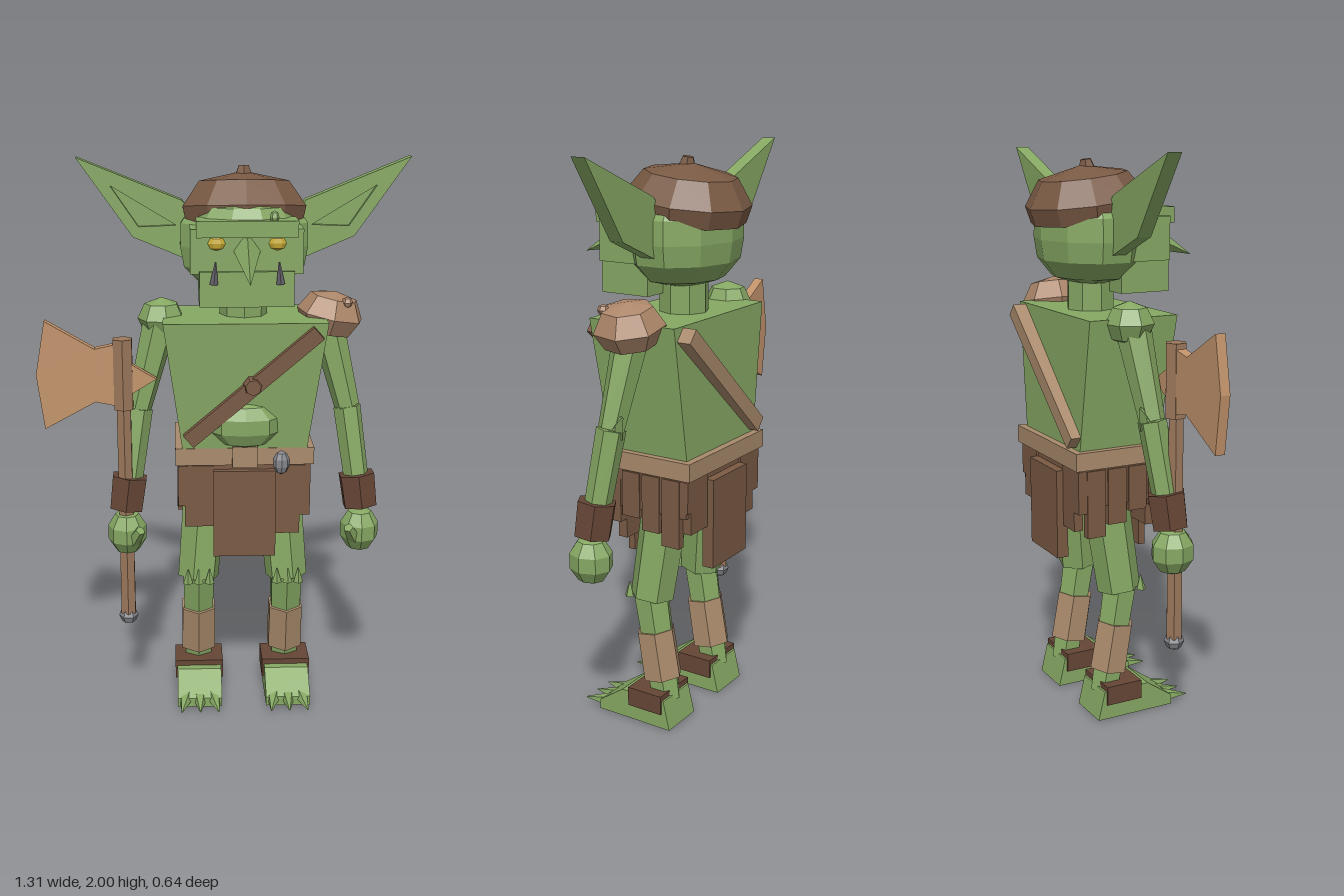
import * as THREE from 'three';

const V = (x, y, z) => new THREE.Vector3(x, y, z);
const mat = (name, color) => Object.assign(new THREE.MeshStandardMaterial({ color }), { name });

export function createModel() {
  const skin = mat('green skin', 0x86a863);
  const leather = mat('brown leather', 0x7a5a44);
  const cuffBrown = mat('dark cuff leather', 0x664636);
  const tan = mat('tan leather', 0xa98a6b);
  const padTan = mat('shoulder pad leather', 0xad876a);
  const wood = mat('handle wood', 0x9c785c);
  const bladeTan = mat('axe blade', 0xc2936b);
  const metal = mat('grey metal', 0x85878c);
  const tusk = mat('tusk grey', 0x6b6672);
  const yellow = mat('eye yellow', 0xc9ab35);

  const model = new THREE.Group();
  model.name = 'goblin';
  const body = new THREE.Group();
  body.name = 'body';
  body.position.x = 0.075;
  model.add(body);

  // Faceted mesh from any geometry
  function add(name, geo, material, pos = V(0, 0, 0), parent = body) {
    const g = geo.index ? geo.toNonIndexed() : geo;
    g.computeVertexNormals();
    const m = new THREE.Mesh(g, material);
    m.name = name;
    m.position.copy(pos);
    parent.add(m);
    return m;
  }
  // Box given by its limits
  const block = (name, material, x0, x1, y0, y1, z0, z1) =>
    add(name, new THREE.BoxGeometry(x1 - x0, y1 - y0, z1 - z0), material,
      V((x0 + x1) / 2, (y0 + y1) / 2, (z0 + z1) / 2));
  // Tapered prism from a to b
  function limb(name, material, a, b, ra, rb, sides = 6) {
    const d = b.clone().sub(a);
    const m = add(name, new THREE.CylinderGeometry(rb, ra, d.length(), sides), material,
      a.clone().add(b).multiplyScalar(0.5));
    m.quaternion.setFromUnitVectors(V(0, 1, 0), d.normalize());
    return m;
  }
  const blob = (name, material, pos, rx, ry, rz, w = 8, h = 5) =>
    add(name, new THREE.SphereGeometry(1, w, h).scale(rx, ry, rz), material, pos);
  const lathe = (pts, n) => new THREE.LatheGeometry(pts.map(p => new THREE.Vector2(...p)), n);
  const shape = pts => new THREE.Shape(pts.map(p => new THREE.Vector2(...p)));
  const plate = (s, depth) => new THREE.ExtrudeGeometry(s, { depth, bevelEnabled: false });
  // Flat band running from a to b, facing +z
  function band(name, material, a, b, width, thick) {
    const d = b.clone().sub(a);
    const m = add(name, new THREE.BoxGeometry(d.length(), width, thick), material,
      a.clone().add(b).multiplyScalar(0.5));
    const x = d.normalize(), y = V(0, 0, 1).cross(x).normalize();
    m.quaternion.setFromRotationMatrix(new THREE.Matrix4().makeBasis(x, y, x.clone().cross(y)));
  }

  // Torso: box widening towards the shoulders
  const torso = new THREE.BoxGeometry(1, 1, 1);
  const tp = torso.attributes.position;
  for (let i = 0; i < tp.count; i++) {
    const top = tp.getY(i) > 0, front = tp.getZ(i) > 0;
    tp.setXYZ(i, Math.sign(tp.getX(i)) * (top ? 0.285 : 0.215), top ? 1.455 : 0.95,
      front ? (top ? 0.088 : 0.05) : (top ? -0.245 : -0.255));
  }
  add('torso', torso, skin);
  blob('belly', skin, V(0, 1.085, 0.055), 0.125, 0.085, 0.055);
  limb('neck', skin, V(0, 1.43, -0.1), V(0, 1.58, -0.1), 0.085, 0.085, 8);

  // Straps and belt
  band('frontStrap', leather, V(-0.2, 1.035, 0.075), V(0.25, 1.425, 0.098), 0.055, 0.03);
  band('backStrap', tan, V(-0.21, 1.03, -0.265), V(0.25, 1.43, -0.27), 0.055, 0.05);
  limb('strapStud', leather, V(0.025, 1.235, 0.08), V(0.025, 1.235, 0.115), 0.036, 0.028, 7);
  block('belt', tan, -0.247, 0.247, 0.937, 1.0, -0.28, 0.055);
  block('buckle', tan, -0.045, 0.045, 0.93, 1.008, 0.04, 0.068);
  blob('beltCharm', metal, V(0.13, 0.945, 0.055), 0.03, 0.044, 0.025);

  // Ragged kilt
  block('kilt', leather, -0.235, 0.235, 0.8, 0.945, -0.26, 0.035);
  block('frontFlap', leather, -0.112, 0.112, 0.59, 0.915, 0.035, 0.06);
  block('backFlap', leather, -0.112, 0.112, 0.59, 0.91, -0.292, -0.25);
  const strips = [[-0.215, -0.11, 0.7], [-0.237, -0.21, 0.78], [0.11, 0.2, 0.67], [0.195, 0.237, 0.74]];
  for (const [x0, x1, y] of strips) {
    block('kiltFrontStrip', leather, x0, x1, y, 0.93, 0.005, 0.04);
    block('kiltBackStrip', leather, -x1, -x0, y + 0.04, 0.93, -0.268, -0.235);
  }
  for (const s of [1, -1])
    for (const [z, y] of [[-0.04, 0.77], [-0.12, 0.73], [-0.2, 0.69]])
      block('kiltSideStrip', leather, s * 0.225 - 0.015, s * 0.225 + 0.015, y, 0.93, z - 0.035, z + 0.035);

  // Skull, jaw and brow
  add('skull', lathe([[0, 1.53], [0.125, 1.57], [0.172, 1.63], [0.182, 1.7], [0.18, 1.78], [0.13, 1.87], [0, 1.9]], 10)
    .scale(1.28, 1, 1), skin, V(0, 0, -0.105));
  block('jaw', skin, -0.16, 0.16, 1.52, 1.64, -0.06, 0.125);
  block('face', skin, -0.19, 0.19, 1.63, 1.78, -0.07, 0.112);
  block('brow', skin, -0.17, 0.17, 1.755, 1.81, 0.03, 0.14);
  blob('forehead', skin, V(0, 1.81, 0), 0.165, 0.068, 0.115, 10, 6);
  blob('browWart', skin, V(0.09, 1.82, 0.12), 0.016, 0.022, 0.016, 6, 4);
  const nose = limb('nose', skin, V(0, 1.712, 0.1), V(0, 1.625, 0.31), 0.056, 0.0, 4);
  nose.scale.x = 0.85;

  // Cap with a button, tipped back
  const cap = add('cap', lathe([[0, -0.02], [0.2, -0.02], [0.213, 0.04], [0.155, 0.125], [0, 0.16]], 10)
    .scale(1.05, 1, 1), leather, V(0, 1.79, -0.11));
  cap.rotation.x = -0.13;
  limb('capButton', leather, V(0, 1.935, -0.11), V(0, 1.968, -0.115), 0.032, 0.02, 6);

  // Paired parts of the face, limbs and clothing
  for (const s of [1, -1]) {
    blob('eye', yellow, V(s * 0.102, 1.733, 0.112), 0.03, 0.024, 0.012, 6, 4);
    limb('tusk', tusk, V(s * 0.112, 1.6, 0.13), V(s * 0.106, 1.675, 0.142), 0.015, 0.003, 5);

    // Ear: back plate and a front rim with a hollow
    const outline = [[0.17, 1.64], [0.385, 1.73], [0.575, 2.0], [0.215, 1.855], [0.17, 1.8]].map(([x, y]) => [s * x, y]);
    const rim = shape(outline);
    rim.holes.push(shape([[0.235, 1.77], [0.46, 1.905], [0.365, 1.765]].map(([x, y]) => [s * x, y])));
    add('earBack', plate(shape(outline), 0.033), skin, V(0, 0, -0.123));
    add('earRim', plate(rim, 0.017), skin, V(0, 0, -0.09));

    // Arm
    const shoulder = V(s * 0.295, 1.43, -0.09), elbow = V(s * 0.375, 1.12, -0.06), wrist = V(s * 0.42, 0.8, -0.02);
    blob('shoulder', skin, V(s * 0.29, 1.44, -0.1), 0.085, 0.075, 0.085, 7, 4);
    limb('upperArm', skin, shoulder, elbow, 0.062, 0.045);
    limb('forearm', skin, elbow, wrist, 0.05, 0.045);
    limb('elbow', skin, V(s * 0.375, 1.11, -0.07), V(s * 0.39, 1.17, -0.115), 0.04, 0.005, 4);
    limb('wristCuff', cuffBrown, V(s * 0.427, 0.755, -0.015), V(s * 0.412, 0.875, -0.025), 0.066, 0.07);
    blob('hand', skin, V(s * 0.425, 0.668, -0.005), 0.073, 0.085, 0.08, 8, 5);
    limb('thumb', skin, V(s * 0.4, 0.65, 0.04), V(s * 0.375, 0.7, 0.075), 0.026, 0.018, 5);

    // Leg
    const x = s * 0.165;
    limb('thigh', skin, V(s * 0.13, 0.86, -0.12), V(x, 0.46, -0.075), 0.085, 0.078);
    limb('shin', skin, V(x, 0.48, -0.07), V(x, 0.08, -0.135), 0.066, 0.055);
    for (const k of [-0.04, 0, 0.04])
      limb('kneeRidge', skin, V(x + k, 0.455, -0.005), V(x + k, 0.51, -0.008), 0.018, 0.002, 4);
    limb('legWrap', tan, V(x, 0.16, -0.12), V(x, 0.335, -0.09), 0.072, 0.07);
    block('ankleCuff', cuffBrown, x - 0.09, x + 0.09, 0.055, 0.125, -0.168, -0.03);

    // Foot with three pointed toes
    const side = shape([[-0.2, 0], [0.1, 0], [0.1, 0.035], [0.0, 0.105], [-0.175, 0.105]]);
    add('foot', plate(side, 0.165).rotateY(-Math.PI / 2).translate(0.0825, 0, 0), skin, V(x, 0, 0));
    for (const k of [-1, 0, 1])
      limb('toe', skin, V(x + k * 0.052, 0.026, 0.075), V(x + k * 0.068, 0.018, 0.172), 0.027, 0.002, 5);
  }

  // Shoulder pad on the left side
  const pad = add('shoulderPad', lathe([[0, -0.06], [0.09, -0.06], [0.122, 0], [0.085, 0.065], [0, 0.085]], 7),
    padTan, V(0.31, 1.45, -0.09));
  pad.rotation.z = -0.2;
  blob('padStud', padTan, V(0.36, 1.505, -0.025), 0.02, 0.02, 0.02, 6, 4);

  // Axe in the right hand
  const ax = -0.427;
  limb('axeHandle', wood, V(ax, 0.35, 0.003), V(ax, 1.2, 0.003), 0.03, 0.028);
  limb('axeSocket', wood, V(ax, 1.135, 0), V(ax, 1.388, 0), 0.038, 0.038);
  blob('axePommel', metal, V(ax, 0.338, 0.003), 0.036, 0.034, 0.036, 6, 4);
  const blade = shape([[-0.455, 1.37], [-0.525, 1.355], [-0.695, 1.455], [-0.73, 1.265], [-0.705, 1.068],
    [-0.525, 1.165], [-0.455, 1.15]]);
  add('axeBlade', plate(blade, 0.036), bladeTan, V(0, 0, -0.018));
  add('axeSpike', plate(shape([[-0.4, 1.3], [-0.4, 1.19], [-0.31, 1.245]]), 0.03), bladeTan, V(0, 0, -0.015));

  return model;
}
